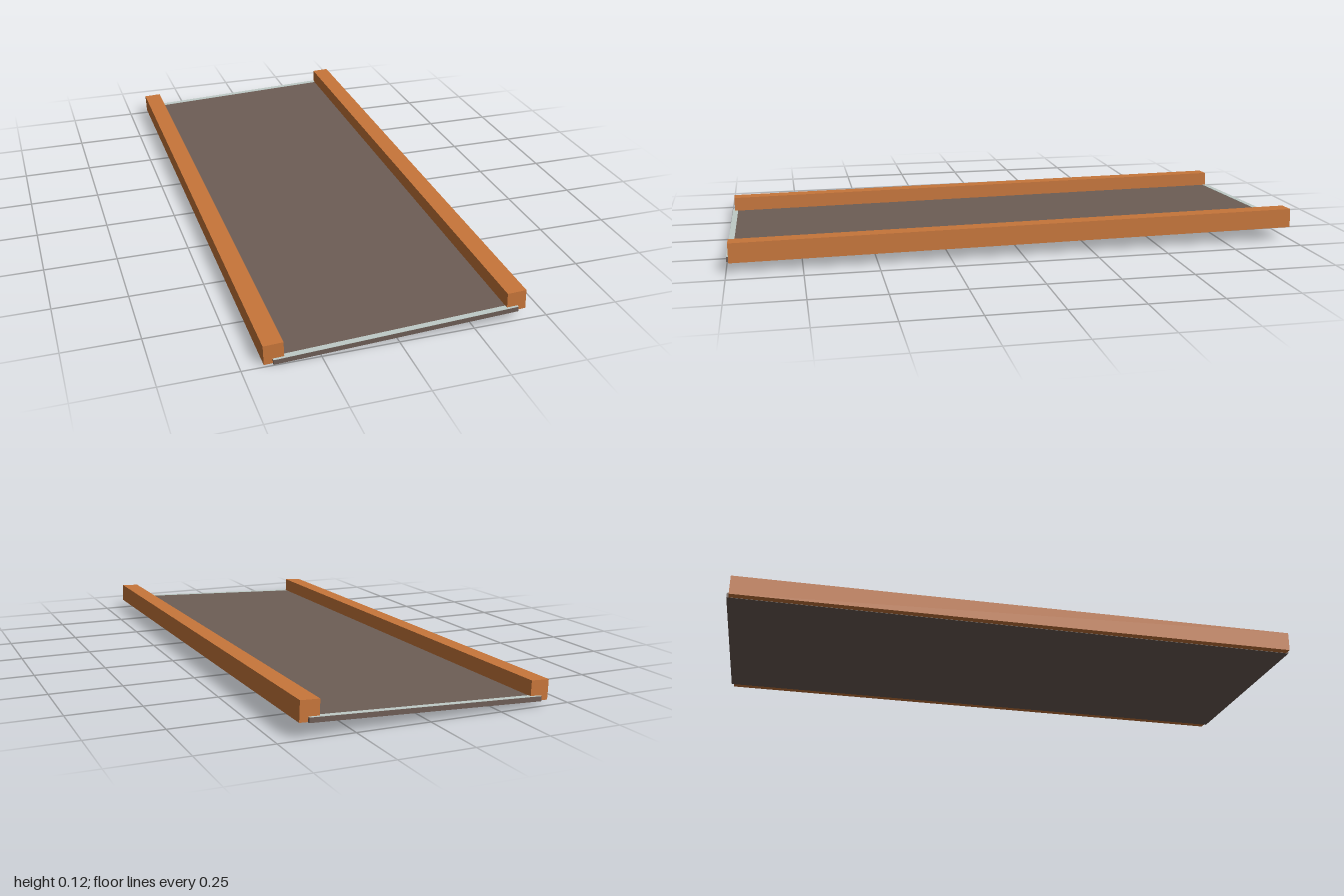
import * as THREE from 'three';

export function createModel() {
  const model = new THREE.Group();
  model.name = 'railedPanel';
  const mat = (name, color) => {
    const m = new THREE.MeshStandardMaterial({ color });
    m.name = name;
    return m;
  };
  const orange = mat('orange wood', 0xc8763a);
  const brown = mat('dark brown', 0x6e5e56);
  const pale = mat('pale grey', 0xc0ccc8);

  const addBox = (name, material, size, x, bottom, z) => {
    const mesh = new THREE.Mesh(new THREE.BoxGeometry(...size), material);
    mesh.name = name;
    mesh.position.set(x, bottom + size[1] / 2, z);
    tilted.add(mesh);
  };

  // Whole panel leans: right side and back are slightly raised
  const tilted = new THREE.Group();
  tilted.name = 'tiltedPanel';
  tilted.rotation.set(0.0078, 0, 0.04);
  tilted.position.y = 0.0267;
  model.add(tilted);

  // Flat deck between the rails
  addBox('deck', brown, [0.8, 0.0165, 1.996], 0, -0.001, 0);

  for (const s of [-1, 1]) {
    // Square rails along both long sides
    addBox(s > 0 ? 'leftRail' : 'rightRail', orange, [0.064, 0.067, 1.98], s * 0.396, 0, 0);
    // Pale trim on the deck at each short end
    addBox(s > 0 ? 'frontTrim' : 'backTrim', pale, [0.8, 0.001, 0.02], 0, 0.0155, s * 0.988);
  }
  return model;
}
